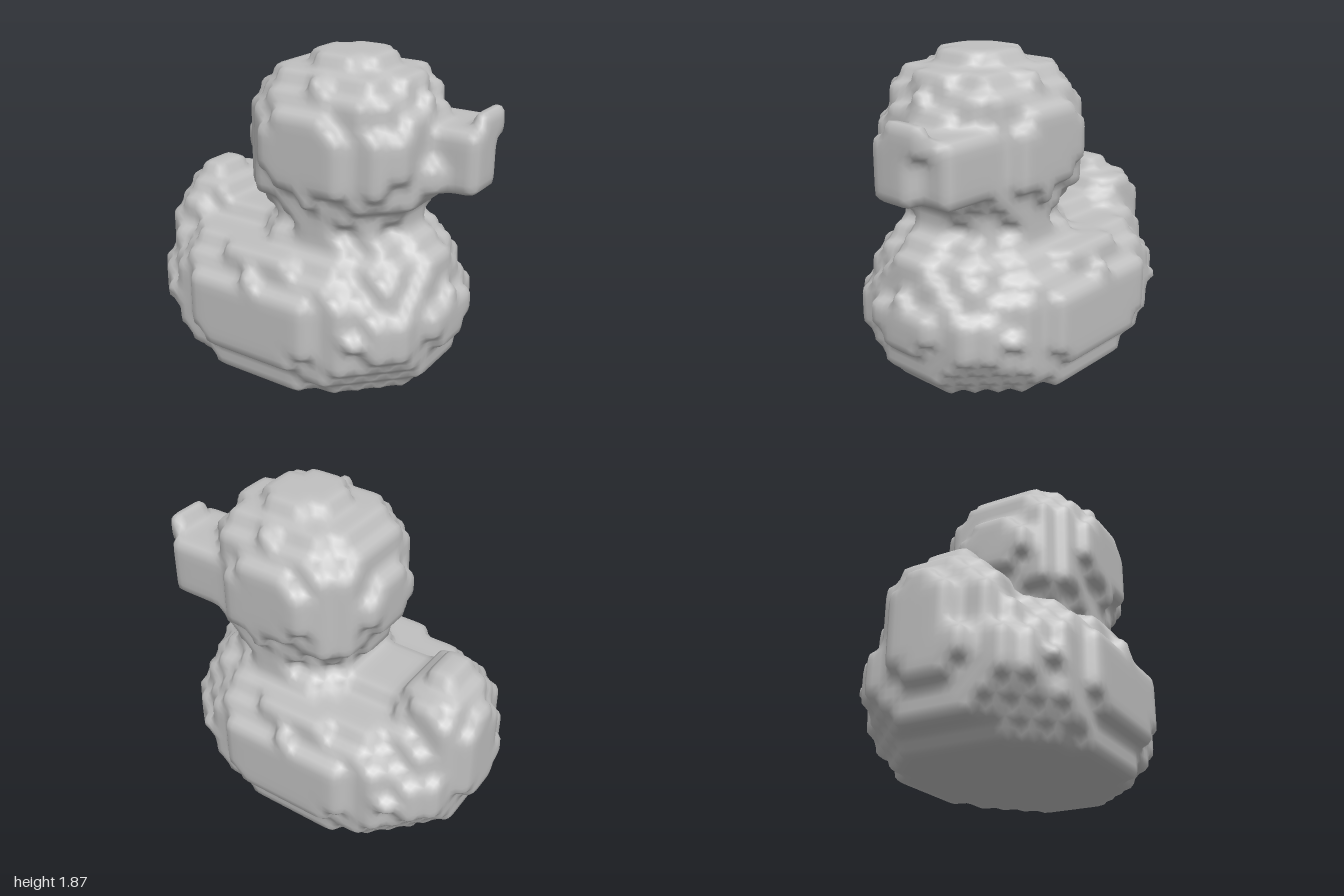
import * as THREE from 'three';

// The toy is made of small blocks, each split in two per axis, with softened edges
const BLOCK = [1 / 11, 0.089, 0.0933];
const COUNT = [52, 50, 38];
const ORIGIN = [-1 - 1.5 * BLOCK[0], -1.5 * BLOCK[1], -9 * BLOCK[2]];
const at = (p) => p.map((n, a) => ORIGIN[a] + (n - 0.5) * 0.5 * BLOCK[a]);
const blockCentre = (p) => p.map((n, a) => ORIGIN[a] + Math.floor(n / 2) * BLOCK[a]);

const ellipsoid = (p, c, r, power = 2) =>
  p.reduce((s, v, a) => s + Math.abs((v - c[a]) / r[a]) ** power, 0) <= 1;
const box = ([x, y, z], x0, x1, y0, y1, z0, z1) =>
  x > x0 && x < x1 && y > y0 && y < y1 && z > z0 && z < z1;

// Body: flat base, low back with a narrow ridge, chest, neck and upturned tail
function inBody(p) {
  const [x, y, z] = p;
  if (y < 0 || (y < 0.09 && x < -0.75)) return false;
  const trunk = y < 0.8 &&
    ellipsoid(p, [-0.045, 0.43, 0], [0.94, y < 0.43 ? 0.615 : 0.5, 0.722], 2.2);
  const ridge = box(p, -0.7, 0, 0.7, 0.88, -0.25, 0.25);
  const chest = ellipsoid(p, [0.22, 0.45, 0], [0.66, 0.62, 0.58]);
  const neck = y > 0.7 && y < 1.1 && Math.hypot(x - 0.22, z) < 0.41;
  const tail = ellipsoid(p, [-0.72, 0.65, -0.02], [0.28, 0.42, 0.37]);
  return trunk || ridge || chest || neck || tail;
}

// Head: a slightly squared ball
const inHead = (p) => ellipsoid(p, [0.205, 1.36, 0], [0.548, 0.49, 0.512], 2.4);

// Beak: turned a little aside, with a raised tip and a hollow mouth
const inBeak = (p) =>
  box(p, 0.5, 0.9, 1.17, 1.5, -0.4, 0.03) || // bill
  box(p, 0.5, 0.8, 1.17, 1.33, -0.4, 0.12) || // wide root
  box(p, 0.9, 1, 1.42, 1.6, -0.3, -0.05) || // upper lip
  box(p, 0.9, 1, 1.17, 1.5, -0.2, 0.03); // side lip

const solid = (p) => inBody(p) || inHead(p) || inBeak(p);

const partOf = ([x, y]) =>
  y < 1 ? 'body' : x > 0.72 && y > 1.1 ? 'beak' : 'head';

// The six faces of a cell, corners counter-clockwise from outside
const FACES = [];
for (let a = 0; a < 3; a++) {
  for (const side of [0, 1]) {
    const ring = [[0, 0], [1, 0], [1, 1], [0, 1]].map(([b, c]) => {
      const corner = [0, 0, 0];
      corner[a] = side;
      corner[(a + 1) % 3] = b;
      corner[(a + 2) % 3] = c;
      return corner;
    });
    FACES.push(side ? ring : ring.reverse());
  }
}

// Wraps the filled lattice in a skin through edge midpoints, sorted into parts
function buildSkin() {
  const [nx, ny, nz] = COUNT;
  const key = (p) => (p[0] * ny + p[1]) * nz + p[2];
  const each = (fn, trim) => {
    for (let i = 0; i < nx - trim; i++)
      for (let j = 0; j < ny - trim; j++)
        for (let k = 0; k < nz - trim; k++) fn([i, j, k]);
  };
  const filled = new Uint8Array(nx * ny * nz);
  each((p) => { filled[key(p)] = solid(blockCentre(p)) ? 1 : 0; }, 0);

  const points = [];
  const known = new Map();
  const midpoint = (q, r) => {
    const sum = q.map((v, d) => v + r[d]);
    const id = (sum[0] * 2 * ny + sum[1]) * 2 * nz + sum[2];
    if (!known.has(id)) {
      known.set(id, points.length);
      points.push(at(sum.map((s) => s / 2)));
    }
    return known.get(id);
  };

  const parts = { body: [], head: [], beak: [] };
  each((p) => {
    // On each face, cut around every run of filled corners
    const next = new Map();
    for (const face of FACES) {
      const ring = face.map((c) => c.map((v, d) => v + p[d]));
      const full = ring.map((q) => filled[key(q)]);
      for (let e = 0; e < 4; e++) {
        if (full[e] || !full[(e + 1) % 4]) continue;
        let f = (e + 1) % 4;
        while (full[(f + 1) % 4]) f = (f + 1) % 4;
        next.set(midpoint(ring[e], ring[(e + 1) % 4]), midpoint(ring[f], ring[(f + 1) % 4]));
      }
    }
    // Follow the cuts into closed loops and fill them
    const list = parts[partOf(at(p.map((v) => v + 0.5)))];
    while (next.size) {
      const loop = [];
      let v = next.keys().next().value;
      while (next.has(v)) {
        loop.push(v);
        const w = next.get(v);
        next.delete(v);
        v = w;
      }
      for (let i = 1; i < loop.length - 1; i++) list.push(loop[0], loop[i], loop[i + 1]);
    }
  }, 1);
  return { points, parts };
}

// Moves every point halfway to the mean of its neighbours
function soften(points, index) {
  const sums = points.map(() => [0, 0, 0, 0]);
  for (let t = 0; t < index.length; t += 3) {
    for (let e = 0; e < 3; e++) {
      const sum = sums[index[t + e]];
      for (const other of [index[t + (e + 1) % 3], index[t + (e + 2) % 3]]) {
        points[other].forEach((v, d) => { sum[d] += v; });
        sum[3]++;
      }
    }
  }
  return points.map((p, i) => p.map((v, d) => (v + sums[i][d] / sums[i][3]) / 2));
}

export function createModel() {
  const group = new THREE.Group();
  group.name = 'toyDuck';
  const grey = new THREE.MeshStandardMaterial({ color: 0xc0c0c0 });
  grey.name = 'plain grey';

  const { points, parts } = buildSkin();
  const index = Object.values(parts).flat();
  let smooth = points;
  for (let pass = 0; pass < 2; pass++) smooth = soften(smooth, index);

  const whole = new THREE.BufferGeometry();
  whole.setAttribute('position', new THREE.Float32BufferAttribute(smooth.flat(), 3));
  whole.setIndex(index);
  whole.computeVertexNormals();

  // Parts share points and normals, so their seams stay smooth
  for (const [name, list] of Object.entries(parts)) {
    const geometry = new THREE.BufferGeometry();
    geometry.setAttribute('position', whole.getAttribute('position'));
    geometry.setAttribute('normal', whole.getAttribute('normal'));
    geometry.setIndex(list);
    const mesh = new THREE.Mesh(geometry, grey);
    mesh.name = name;
    group.add(mesh);
  }
  return group;
}
